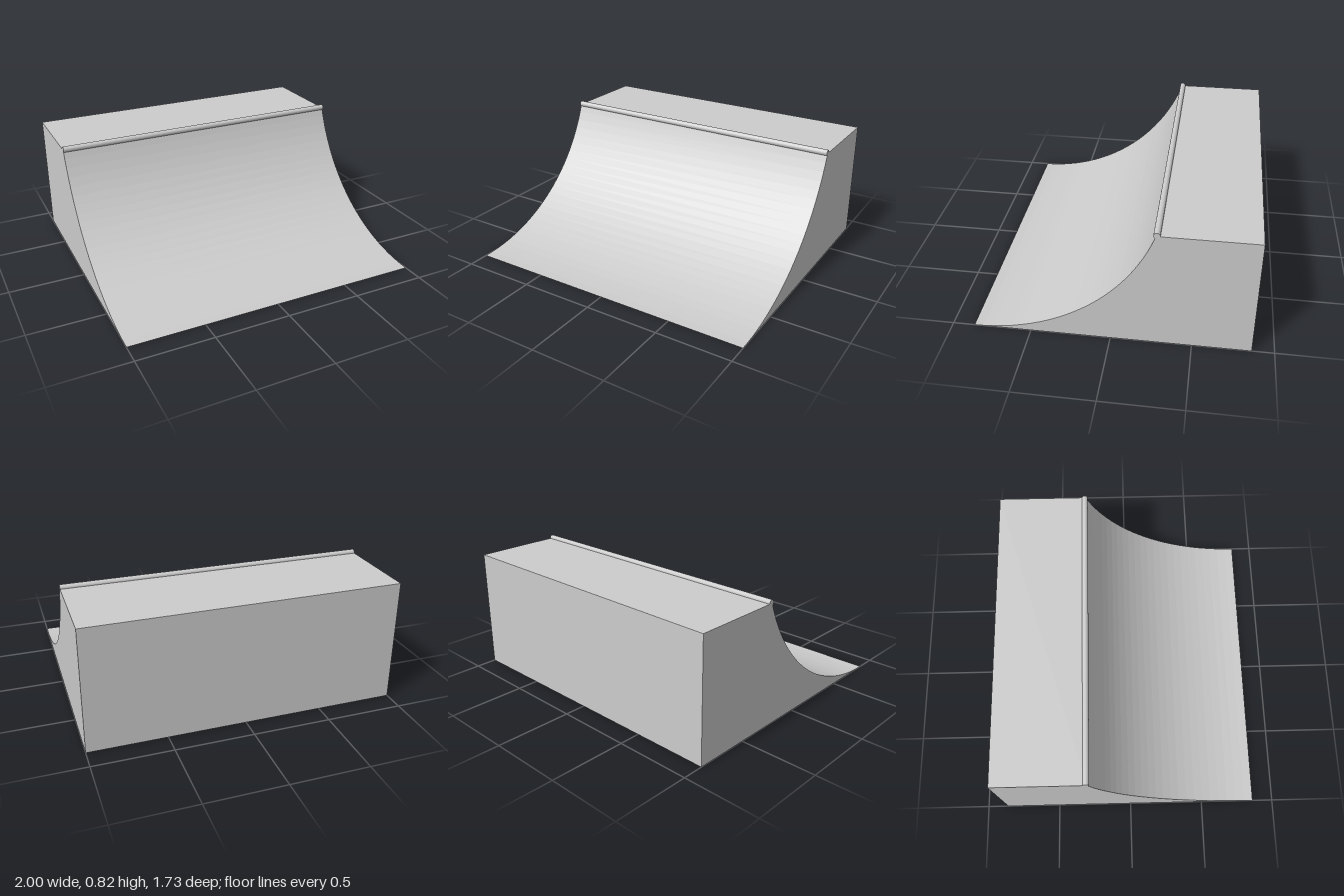
import * as THREE from 'three';

const HALF = 1;        // half width
const DEPTH = 0.863;   // half depth
const HEIGHT = 0.8;
const RADIUS = 1.2;    // transition radius
const STEPS = 24;

// Sheet swept across x along a list of [z, y] points, one flat facet per step
function sweep(points, material, name) {
  const pos = [];
  for (let i = 0; i < points.length - 1; i++) {
    const [z0, y0] = points[i], [z1, y1] = points[i + 1];
    pos.push(-HALF, y0, z0, HALF, y0, z0, HALF, y1, z1);
    pos.push(-HALF, y0, z0, HALF, y1, z1, -HALF, y1, z1);
  }
  const geo = new THREE.BufferGeometry();
  geo.setAttribute('position', new THREE.Float32BufferAttribute(pos, 3));
  geo.computeVertexNormals();
  const mesh = new THREE.Mesh(geo, material);
  mesh.name = name;
  return mesh;
}

export function createModel() {
  const group = new THREE.Group();
  group.name = 'quarterPipeRamp';
  const grey = new THREE.MeshStandardMaterial({ color: 0xcccccc, side: THREE.DoubleSide });
  grey.name = 'light grey';

  // Circular transition, tangent to the ground at the front
  const sweepAngle = Math.acos(1 - HEIGHT / RADIUS);
  const arc = [];
  for (let i = 0; i <= STEPS; i++) {
    const a = (sweepAngle * i) / STEPS;
    arc.push([DEPTH - RADIUS * Math.sin(a), RADIUS * (1 - Math.cos(a))]);
  }
  const lip = arc[STEPS];

  // Open-bottomed shell
  group.add(sweep(arc, grey, 'ridingSurface'));
  group.add(sweep([lip, [-DEPTH, HEIGHT]], grey, 'platform'));
  group.add(sweep([[-DEPTH, HEIGHT], [-DEPTH, 0]], grey, 'backWall'));

  // Side walls follow the same profile
  const outline = [...arc, [-DEPTH, HEIGHT], [-DEPTH, 0]].map(([z, y]) => new THREE.Vector2(-z, y));
  const sideGeo = new THREE.ShapeGeometry(new THREE.Shape(outline)).rotateY(Math.PI / 2);
  for (const [side, name] of [[1, 'leftWall'], [-1, 'rightWall']]) {
    const wall = new THREE.Mesh(sideGeo, grey);
    wall.position.x = side * HALF;
    wall.name = name;
    group.add(wall);
  }

  // Round coping bar along the lip
  const coping = new THREE.Mesh(new THREE.CylinderGeometry(0.02, 0.02, 2 * HALF, 16), grey);
  coping.rotation.z = Math.PI / 2;
  coping.position.set(0, HEIGHT + 0.002, lip[0] - 0.005);
  coping.name = 'coping';
  group.add(coping);

  return group;
}
